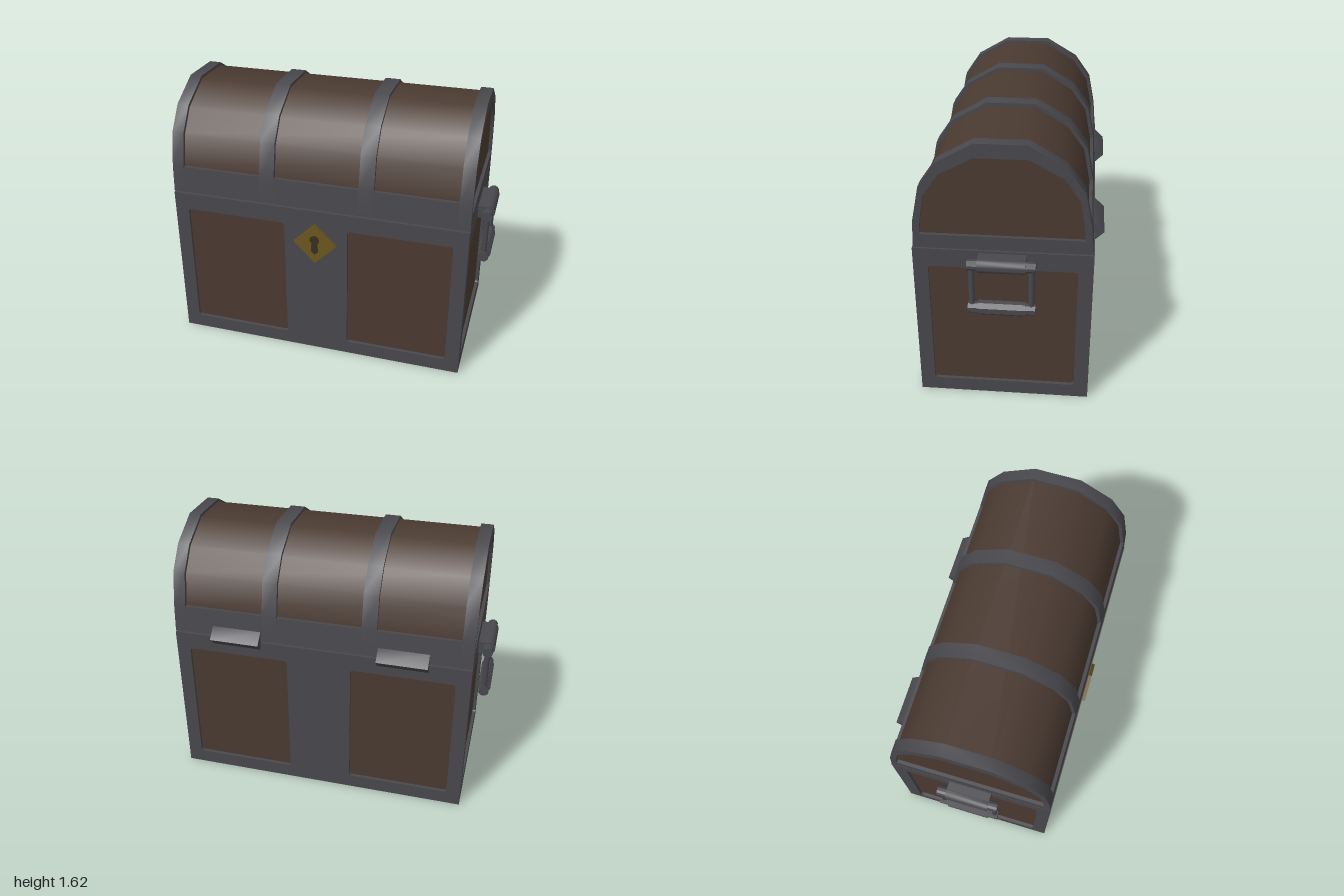
import * as THREE from 'three';
import { toCreasedNormals } from 'three/addons/utils/BufferGeometryUtils.js';

const mat = (name, color) => new THREE.MeshStandardMaterial({ name, color });

export function createModel() {
  const metal = mat('dark metal', 0x48484d);
  const wood = mat('brown wood', 0x4a3a31);
  const brass = mat('brass', 0x6b561f);
  const dark = mat('keyhole dark', 0x3a2f1e);

  const root = new THREE.Group();
  root.name = 'chest';
  const W = 0.9, BACK = -0.475, FRONT = 0.51, MID = (BACK + FRONT) / 2;
  const D = FRONT - BACK, H = 0.985, T = 0.02;

  const add = (name, geo, material, parent = root, x = 0, y = 0, z = 0) => {
    const m = new THREE.Mesh(geo, material);
    m.name = name;
    m.position.set(x, y, z);
    parent.add(m);
    return m;
  };
  const poly = pts => new THREE.Shape(pts.map(p => new THREE.Vector2(p[0], p[1])));
  const roundRect = (x0, y0, x1, y1, r = 0.02) => {
    const p = new THREE.Path();
    p.moveTo(x0 + r, y0);
    p.lineTo(x1 - r, y0).quadraticCurveTo(x1, y0, x1, y0 + r);
    p.lineTo(x1, y1 - r).quadraticCurveTo(x1, y1, x1 - r, y1);
    p.lineTo(x0 + r, y1).quadraticCurveTo(x0, y1, x0, y1 - r);
    p.lineTo(x0, y0 + r).quadraticCurveTo(x0, y0, x0 + r, y0);
    return p;
  };
  const extrude = (shape, depth) =>
    new THREE.ExtrudeGeometry(shape, { depth, bevelEnabled: false, curveSegments: 3 });

  // Flat frame with panel openings; its outer face lies on local z = 0
  const frame = (w, h, holes) => {
    const s = poly([[-w / 2, 0], [w / 2, 0], [w / 2, h], [-w / 2, h]]);
    s.holes = holes.map(h => roundRect(...h));
    return extrude(s, T).translate(0, 0, -T);
  };
  // Profile in (z, y) extruded along x, centred on x
  const alongX = (shape, length, x = 0) => toCreasedNormals(
    extrude(shape, length).translate(0, 0, -length / 2).rotateY(-Math.PI / 2).translate(x, 0, 0), 0.65);

  // Base: wooden core inside metal frames
  const base = new THREE.Group();
  base.name = 'base';
  root.add(base);
  add('baseCore', new THREE.BoxGeometry(2 * (W - T), H - 2 * T, D - 2 * T), wood, base, 0, H / 2, MID);
  const longHoles = [[-0.815, 0.085, -0.195, 0.88], [0.195, 0.085, 0.815, 0.88]];
  const sideHole = [[-0.41, 0.085, 0.41, 0.875]];
  add('frontFrame', frame(2 * W, H, longHoles), metal, base, 0, 0, FRONT);
  add('backFrame', frame(2 * W, H, longHoles), metal, base, 0, 0, BACK).rotation.y = Math.PI;
  for (const s of [1, -1])
    add('sideFrame', frame(D, H, sideHole), metal, base, s * W, 0, MID).rotation.y = s * Math.PI / 2;
  add('bottomFrame', frame(2 * W, D, [[-0.82, 0.08, 0.82, D - 0.08]]), metal, base, 0, 0, BACK)
    .rotation.x = Math.PI / 2;
  add('baseTop', new THREE.BoxGeometry(2 * W, T, D), metal, base, 0, H - T / 2, MID);

  // Lid: smooth wooden barrel under faceted metal straps
  const lid = new THREE.Group();
  lid.name = 'lid';
  root.add(lid);
  const arch = [[0.505, 0.993], [0.495, 1.16], [0.455, 1.36], [0.36, 1.5], [0.16, 1.615],
    [-0.12, 1.615], [-0.315, 1.5], [-0.415, 1.36], [-0.455, 1.16], [-0.47, 0.993]];
  const opening = [[0.465, 1.075], [0.455, 1.17], [0.43, 1.31], [0.345, 1.435], [0.16, 1.535],
    [-0.12, 1.535], [-0.305, 1.435], [-0.39, 1.31], [-0.415, 1.17], [-0.425, 1.075]];
  const barrel = arch.map(([z, y]) => [(z - 0.02) * 0.957 + 0.02, (y - 0.993) * 0.968 + 0.995]);
  add('lidBarrel', alongX(poly(barrel), 2 * (W - T)), wood, lid);
  for (const s of [1, -1]) {
    const end = poly(arch);
    end.holes = [poly(opening)];
    add('lidEndFrame', alongX(end, 0.072, s * (W - 0.036)), metal, lid);
    add('lidStrap', alongX(poly(arch), 0.09, s * 0.3), metal, lid);
  }
  const band = [arch[0], [0.495, 1.156], [-0.455, 1.156], arch[9]];
  add('lidBand', alongX(poly(band), 2 * W - 0.08), metal, lid);

  // Hinges
  for (const s of [1, -1])
    add('hinge', alongX(poly([[-0.45, 1.055], [-0.45, 0.93], [-0.472, 0.935], [-0.528, 0.99], [-0.465, 1.052]]),
      0.3, s * 0.505), metal);

  // Lock plate with keyhole
  const r = 0.13;
  add('lockPlate', extrude(poly([[0, -r], [r, 0], [0, r], [-r, 0]]), 0.03), brass, root, 0, 0.775, 0.5);
  add('keyholeRound', new THREE.CircleGeometry(0.03, 12), dark, root, 0, 0.803, 0.532);
  add('keyholeSlot', new THREE.ShapeGeometry(
    poly([[-0.018, 0.8], [-0.022, 0.725], [0, 0.705], [0.022, 0.725], [0.018, 0.8]])), dark, root, 0, 0, 0.5315);

  // Hanging side handles
  const bar = (rad, len, sides) => toCreasedNormals(
    new THREE.CylinderGeometry(rad, rad, len, sides).rotateY(Math.PI / sides).rotateX(Math.PI / 2), 0.5);
  for (const s of [1, -1]) {
    const h = new THREE.Group();
    h.name = 'handle';
    h.position.set(s * 0.96, 0, MID);
    root.add(h);
    add('handleMount', new THREE.BoxGeometry(0.07, 0.076, 0.26), metal, h, -s * 0.035, 0.934, 0);
    add('handleMountRound', bar(0.04, 0.26, 16), metal, h, 0, 0.934, 0);
    add('handlePin', bar(0.031, 0.37, 12), metal, h, 0, 0.934, 0);
    add('handleGrip', bar(0.041, 0.26, 8), metal, h, 0, 0.66, 0);
    add('handleGripEnds', bar(0.033, 0.37, 8), metal, h, 0, 0.66, 0);
    for (const e of [1, -1])
      add('handleArm', new THREE.CylinderGeometry(0.017, 0.017, 0.27, 8), metal, h, 0, 0.797, e * 0.163);
  }
  return root;
}
